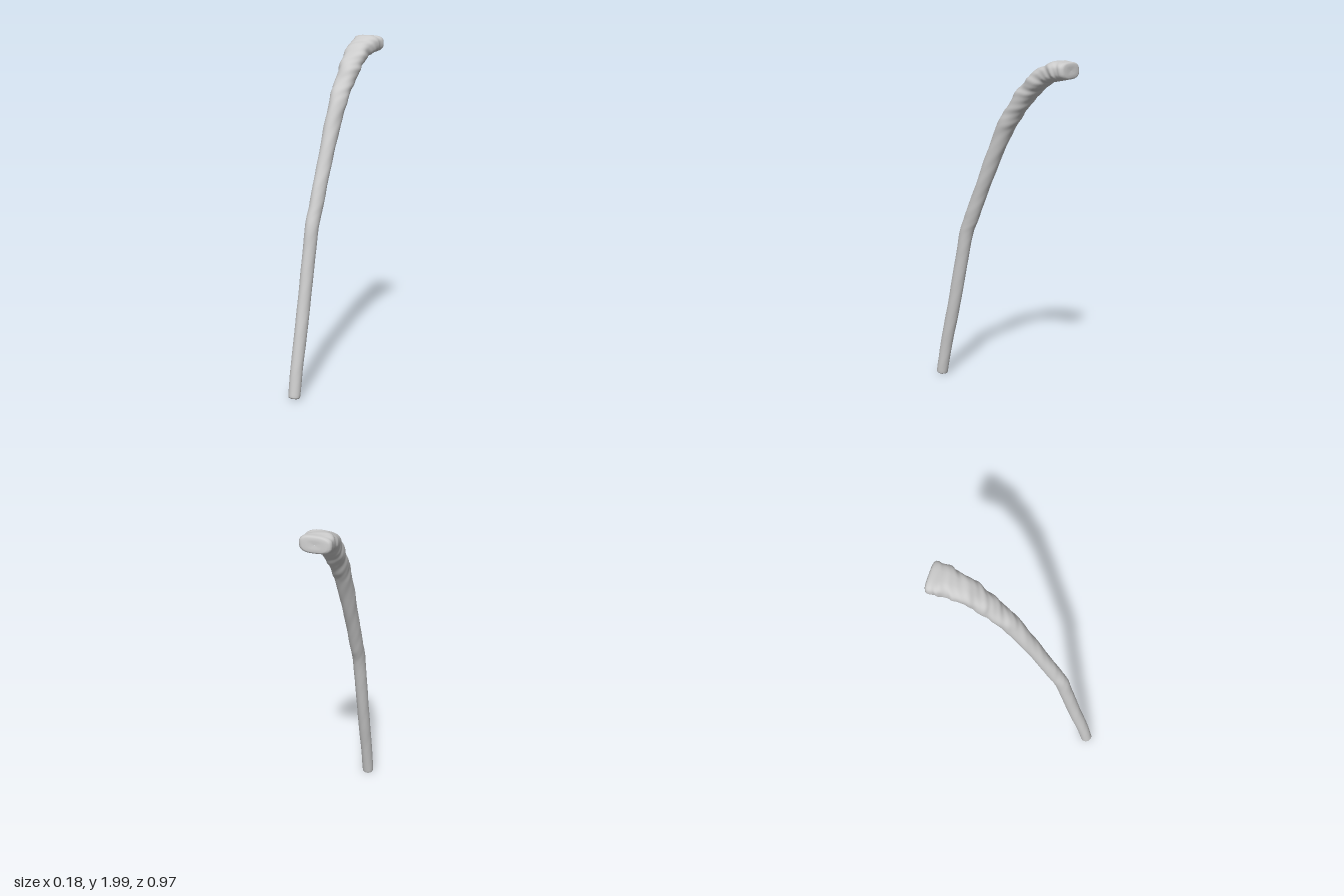
import * as THREE from 'three';

// Stations along the stick: centre y, centre z, half width (x), half depth (in the bending plane)
const STATIONS = [
  [0.012, 0.453, 0.034, 0.034],
  [0.2, 0.416, 0.035, 0.037],
  [0.4, 0.368, 0.036, 0.039],
  [0.6, 0.323, 0.036, 0.04],
  [0.8, 0.28, 0.037, 0.04],
  [0.95, 0.246, 0.038, 0.042],
  [1.05, 0.203, 0.039, 0.044],
  [1.2, 0.141, 0.04, 0.043],
  [1.4, 0.052, 0.043, 0.045],
  [1.6, -0.042, 0.05, 0.052],
  [1.7, -0.111, 0.055, 0.051],
  [1.79, -0.183, 0.06, 0.053],
  [1.857, -0.247, 0.066, 0.052],
  [1.912, -0.325, 0.072, 0.051],
  [1.937, -0.4, 0.082, 0.053],
  [1.942, -0.458, 0.088, 0.048],
];
const ROWS = 200, SIDES = 32;

// Carved, uneven bark: rings of chip marks that grow toward the handle and the front face
function lump(t, a) {
  const front = 0.5 + 0.5 * Math.sin(a);
  const grow = 0.25 + 0.75 * THREE.MathUtils.smoothstep(t, 0.3, 0.75);
  const fade = 1 - 0.7 * THREE.MathUtils.smoothstep(t, 0.93, 1);
  const waves = 0.06 * Math.sin(t * 62 + 1.2 * Math.cos(a)) * front
    + 0.03 * Math.sin(t * 95 + 2 * a)
    + 0.025 * Math.sin(t * 41 - 3 * a + 1)
    + 0.015 * Math.sin(t * 170 + 5 * a);
  return 1 + waves * grow * fade;
}

function stickGeometry() {
  const path = new THREE.CatmullRomCurve3(STATIONS.map(([y, z]) => new THREE.Vector3(0, y, z)));
  const size = new THREE.CatmullRomCurve3(STATIONS.map(([, , w, d]) => new THREE.Vector3(w, d, 0)));

  // Ring list: rounded foot, shaft, rounded handle end (t, scale, push along the path)
  const rings = [[0, 0.01, -0.01], [0, 0.5, -0.01], [0, 0.8, -0.009], [0, 0.94, -0.005]];
  for (let i = 0; i <= ROWS; i++) rings.push([i / ROWS, 1, 0]);
  rings.push([1, 0.98, 0.01], [1, 0.9, 0.018], [1, 0.75, 0.023], [1, 0.4, 0.022], [1, 0.01, 0.02]);

  const pos = [], index = [];
  rings.forEach(([t, scale, push], i) => {
    const c = path.getPoint(t), s = size.getPoint(t), tan = path.getTangent(t);
    const ny = -tan.z, nz = tan.y;
    const n = nz < 0 ? -1 : 1;
    c.addScaledVector(tan, push);
    // the section turns from round to a softened rectangle at the handle
    const power = 1 - 0.3 * THREE.MathUtils.smoothstep(t, 0.6, 1);
    const soft = (v) => Math.sign(v) * Math.abs(v) ** power;
    for (let j = 0; j < SIDES; j++) {
      const a = (j / SIDES) * Math.PI * 2;
      const k = scale * lump(t, a);
      const u = soft(Math.cos(a)) * s.x * k, v = soft(Math.sin(a)) * s.y * k * n;
      pos.push(u, Math.max(0, c.y + ny * v), c.z + nz * v);
      if (i < rings.length - 1) {
        const p = i * SIDES + j, q = i * SIDES + (j + 1) % SIDES;
        index.push(p, p + SIDES, q, q, p + SIDES, q + SIDES);
      }
    }
  });
  const geo = new THREE.BufferGeometry();
  geo.setAttribute('position', new THREE.Float32BufferAttribute(pos, 3));
  geo.setIndex(index);
  geo.computeVertexNormals();
  return geo;
}

export function createModel() {
  const group = new THREE.Group();
  group.name = 'walkingStick';
  const stick = new THREE.Mesh(stickGeometry(), new THREE.MeshStandardMaterial({ color: 0xcccccc }));
  stick.name = 'shaftAndHandle';
  group.add(stick);
  return group;
}
